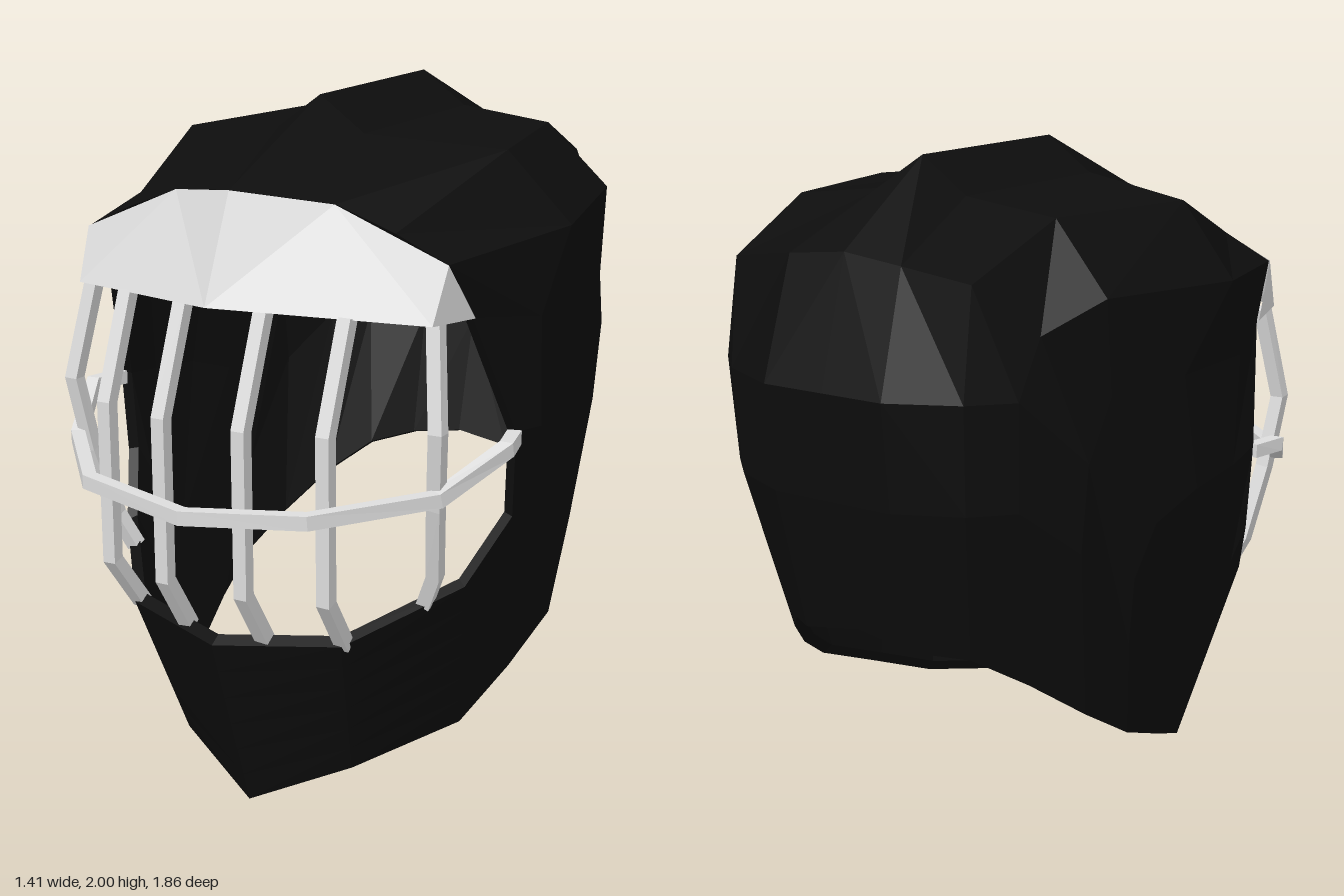
import * as THREE from 'three';

const shellBlack = new THREE.MeshStandardMaterial({ color: 0x0d0d0d, flatShading: true });
shellBlack.name = 'shell black';
const guardGrey = new THREE.MeshStandardMaterial({ color: 0xdcdcdc, flatShading: true, side: THREE.DoubleSide });
guardGrey.name = 'guard light grey';

const V = (p) => new THREE.Vector3(...p);

// Collects triangles on the left half together with their mirror images
function mirroredSurface() {
  const pos = [];
  const tri = (a, b, c) => {
    for (const p of [a, b, c]) pos.push(p.x, p.y, p.z);
    for (const p of [a, c, b]) pos.push(-p.x, p.y, p.z);
  };
  const quad = (a, b, c, d) => { tri(a, b, c); tri(a, c, d); };
  const build = () => {
    const g = new THREE.BufferGeometry();
    g.setAttribute('position', new THREE.Float32BufferAttribute(pos, 3));
    g.computeVertexNormals();
    return g;
  };
  return { tri, quad, build };
}

// Half-shell rows from the crown midline down to the chin;
// each row runs from the face opening to the lower rim.
const COLS = 7;
const rows = [
  [[0, 1.79, .65], [0, 1.99, .17], [0, 2, -.47], [0, 1.79, -.82], [0, 1.44, -.93], [0, 1.14, -.9], [0, .75, -.8]],
  [[.25, 1.755, .525], [.14, 1.89, .17], [.14, 1.9, -.47], [.18, 1.77, -.82], [.19, 1.44, -.93], [.19, 1.14, -.9], [.18, .72, -.8]],
  [[.42, 1.69, .51], [.52, 1.855, .04], [.42, 1.865, -.47], [.38, 1.74, -.8], [.38, 1.44, -.84], [.37, 1.14, -.82], [.3, .69, -.7]],
  [[.57, 1.62, .5], [.7, 1.655, 0], [.6, 1.68, -.51], [.5, 1.6, -.67], [.48, 1.44, -.74], [.47, 1.14, -.72], [.41, .6, -.58]],
  [[.59, 1.46, .39], [.67, 1.42, .12], [.655, 1.42, -.18], [.6, 1.42, -.48], [.58, 1.25, -.56], [.56, 1, -.56], [.5, .48, -.43]],
  [[.66, 1.12, .25], [.67, 1.1, .1], [.66, 1.08, -.1], [.63, 1.02, -.28], [.61, .88, -.36], [.585, .68, -.34], [.55, .38, -.28]],
  [[.65, .87, .24], [.52, .28, -.05]],
  [[.57, .69, .37], [.47, .18, .18]],
  [[.34, .57, .66], [.28, .12, .49]],
  [[0, .55, .78], [0, 0, .6]],
].map((row) => row.length === COLS ? row.map(V)
  : Array.from({ length: COLS }, (_, j) => V(row[0]).lerp(V(row[1]), j / (COLS - 1))));

function makeShell() {
  const centre = new THREE.Vector3(0, 1, 0);
  const inner = rows.map((row) => row.map((p) => p.clone().sub(centre).multiplyScalar(.955).add(centre)));
  const s = mirroredSurface();
  const last = COLS - 1;
  for (let i = 0; i < rows.length - 1; i++) {
    const o = rows[i], o2 = rows[i + 1], n = inner[i], n2 = inner[i + 1];
    for (let j = 0; j < last; j++) {
      s.quad(o[j], o2[j], o2[j + 1], o[j + 1]);
      s.quad(n[j], n[j + 1], n2[j + 1], n2[j]);
    }
    // edges of the face opening and the lower rim
    s.quad(o[0], n[0], n2[0], o2[0]);
    s.quad(o[last], o2[last], n2[last], n[last]);
  }
  return new THREE.Mesh(s.build(), shellBlack);
}

// Faceted brow plate above the face opening
function makeBrow() {
  const s = mirroredSurface();
  const [t0, t1, t2] = [[0, 1.79, .652], [.25, 1.755, .53], [.572, 1.62, .503]].map(V);
  const [b0, b1, b2] = [[0, 1.5, .78], [.56, 1.47, .57], [.597, 1.46, .39]].map(V);
  s.tri(t0, b0, t1);
  s.tri(t1, b0, b1);
  s.tri(t1, b1, t2);
  s.tri(t2, b1, b2);
  return new THREE.Mesh(s.build(), guardGrey);
}

// Square bar swept along a bent path
function makeBar(path, ref, width = .04) {
  const pts = path.map(V), pos = [], idx = [], h = width / 2;
  pts.forEach((p, i) => {
    const t = new THREE.Vector3();
    if (i > 0) t.add(p.clone().sub(pts[i - 1]).normalize());
    if (i < pts.length - 1) t.add(pts[i + 1].clone().sub(p).normalize());
    t.normalize();
    const a = ref.clone().cross(t).normalize();
    const b = t.clone().cross(a);
    for (const [u, v] of [[h, h], [-h, h], [-h, -h], [h, -h]]) {
      const q = p.clone().addScaledVector(a, u).addScaledVector(b, v);
      pos.push(q.x, q.y, q.z);
    }
    if (i < pts.length - 1) {
      for (let k = 0; k < 4; k++) {
        const c = i * 4 + k, d = i * 4 + (k + 1) % 4;
        idx.push(c, d, d + 4, c, d + 4, c + 4);
      }
    }
  });
  const e = (pts.length - 1) * 4;
  idx.push(0, 2, 1, 0, 3, 2, e, e + 1, e + 2, e, e + 2, e + 3);
  const g = new THREE.BufferGeometry();
  g.setAttribute('position', new THREE.Float32BufferAttribute(pos, 3));
  g.setIndex(idx);
  g.computeVertexNormals();
  return new THREE.Mesh(g, guardGrey);
}

export function createModel() {
  const model = new THREE.Group();
  model.name = 'helmet';
  const add = (mesh, name, parent = model) => { mesh.name = name; parent.add(mesh); };

  add(makeShell(), 'shell');
  add(makeBrow(), 'browPlate');

  const guard = new THREE.Group();
  add(guard, 'faceGuard');
  const X = new THREE.Vector3(1, 0, 0), Y = new THREE.Vector3(0, 1, 0);

  // Upright bars, mirrored left and right
  const uprights = {
    innerBar: [[.126, 1.49, .69], [.126, 1.19, .81], [.126, .73, .81], [.126, .56, .7]],
    middleBar: [[.346, 1.48, .635], [.346, 1.19, .75], [.346, .73, .75], [.335, .565, .63]],
    outerBar: [[.545, 1.47, .52], [.585, 1.19, .58], [.562, .97, .54], [.53, .75, .475], [.485, .65, .445]],
  };
  for (const [name, path] of Object.entries(uprights)) {
    for (const [side, sx] of [['left', 1], ['right', -1]]) {
      add(makeBar(path.map(([x, y, z]) => [x * sx, y, z]), X), `${side} ${name}`, guard);
    }
  }

  // Crossbar wrapping from cheek to cheek
  const half = [[.655, 1.105, .25], [.683, 1.105, .36], [.585, 1.01, .575], [.345, .99, .845]];
  const cross = [...half, [0, .965, .91], ...half.map(([x, y, z]) => [-x, y, z]).reverse()];
  add(makeBar(cross, Y), 'crossbar', guard);

  return model;
}
